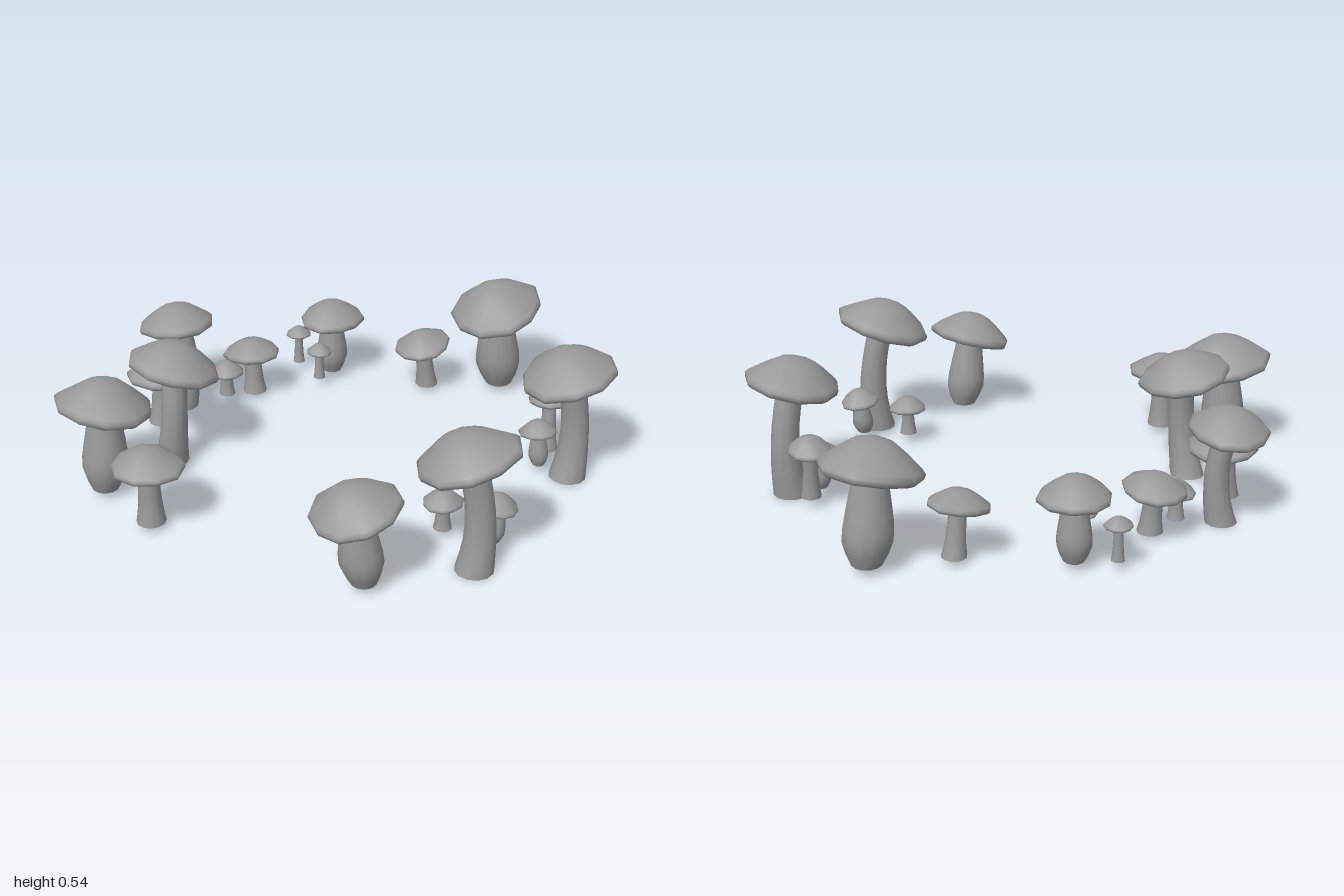
import * as THREE from 'three';
import { mergeVertices } from 'three/addons/utils/BufferGeometryUtils.js';

const grey = new THREE.MeshStandardMaterial({ color: 0x999999 });
grey.name = 'grey';

// Stem radius up its height: swollen bulb or flared foot
const bulb = [0.6, 0.84, 1, 0.99, 0.92, 0.84, 0.76, 0.7, 0.66];
const flare = [1, 0.9, 0.83, 0.78, 0.75, 0.73, 0.72, 0.73, 0.76];

// Domed cap with a soft central bump, rolled rim and shallow underside
function capGeometry(radius, h, seed) {
  const lip = radius * 0.13;
  const pts = [
    [0, 0], [0.35, 0], [0.75, -lip * 0.6], [0.9, -lip], [0.98, -lip * 0.6], [1, lip * 0.1],
    [0.94, 0.16 * h], [0.8, 0.36 * h], [0.6, 0.63 * h], [0.4, 0.86 * h], [0.2, 0.97 * h], [0, h],
  ].map(([r, y]) => new THREE.Vector2(r, y));
  let geo = new THREE.LatheGeometry(pts, 10, seed);
  geo.deleteAttribute('uv');
  geo.deleteAttribute('normal');
  geo = mergeVertices(geo, 1e-5);
  const p = geo.attributes.position;
  for (let i = 0; i < p.count; i++) {
    // gently uneven outline
    const a = Math.atan2(p.getZ(i), p.getX(i));
    const r = Math.hypot(p.getX(i), p.getZ(i));
    const k = radius * (1 + 0.035 * r * (Math.sin(2 * a + seed * 2.3) + Math.sin(3 * a + seed * 4.1)));
    p.setX(i, p.getX(i) * k);
    p.setZ(i, p.getZ(i) * k);
  }
  geo.computeVertexNormals();
  return geo;
}

// Stem that follows a bowed line from its foot to the cap
function stemGeometry(profile, foot, top, radius, bendX, bendZ) {
  const n = profile.length - 1;
  let geo = new THREE.CylinderGeometry(1, 1, 1, 12, n);
  geo.deleteAttribute('uv');
  geo = mergeVertices(geo, 1e-4);
  const p = geo.attributes.position;
  const c = new THREE.Vector3();
  for (let i = 0; i < p.count; i++) {
    const t = p.getY(i) + 0.5;
    const bow = 4 * t * (1 - t);
    const w = radius * profile[Math.round(t * n)];
    c.lerpVectors(foot, top, t);
    p.setXYZ(i, c.x + bendX * bow + p.getX(i) * w, c.y, c.z + bendZ * bow + p.getZ(i) * w);
  }
  geo.computeVertexNormals();
  return geo;
}

// One mushroom; the foot is set off-centre so the stem meets the tilted cap squarely
function makeMushroom(type, [x, z, rimY, radius, slopeX, slopeZ, bendX = 0, bendZ = 0], seed) {
  const h = radius * type.dome;
  const cap = new THREE.Mesh(capGeometry(radius, h, seed), grey);
  cap.name = 'cap';
  cap.position.set(x, rimY, z);
  cap.quaternion.setFromUnitVectors(
    new THREE.Vector3(0, 1, 0), new THREE.Vector3(-slopeX, 1, -slopeZ).normalize());

  const foot = new THREE.Vector3(x + slopeX * 0.12, type.footY, z + slopeZ * 0.12);
  const top = new THREE.Vector3(x, rimY + h * 0.2, z);
  const stem = new THREE.Mesh(
    stemGeometry(type.profile, foot, top, radius * type.stem, bendX, bendZ), grey);
  stem.name = 'stem';

  const mushroom = new THREE.Group();
  mushroom.name = type.name;
  mushroom.add(cap, stem);
  return mushroom;
}

// Each spot: x, z, rim height, cap radius, rim slope along x and z, stem bow along x and z
const tall = {
  name: 'tallMushroom', profile: flare, dome: 0.53, stem: 0.39, footY: 0,
  spots: [
    [-0.065, 0.765, 0.44, 0.18, 0.2, 0.22, 0.03, 0.01],
    [0.6, 0.52, 0.435, 0.18, 0.18, 0.1, 0.035, 0],
    [-0.5, -0.415, 0.405, 0.167, -0.22, -0.1, -0.01, 0.03],
    [-0.275, -0.785, 0.36, 0.15, 0, 0.13, 0.02, 0.02],
  ],
};
const stout = {
  name: 'stoutMushroom', profile: bulb, dome: 0.57, stem: 0.48, footY: 0.03,
  spots: [
    [-0.82, -0.36, 0.365, 0.175, -0.17, 0],
    [0.82, -0.14, 0.37, 0.185, 0.25, 0],
    [-0.445, 0.655, 0.325, 0.16, 0.25, 0.08],
    [0.355, -0.625, 0.265, 0.13, 0, 0],
  ],
};
const medium = {
  name: 'mediumMushroom', profile: flare, dome: 0.5, stem: 0.41, footY: 0.025,
  spots: [
    [-0.81, -0.075, 0.255, 0.131, 0, 0],
    [-0.415, -0.67, 0.225, 0.135, -0.1, 0],
    [0, -0.68, 0.192, 0.115, 0, 0.12],
    [0.58, -0.305, 0.21, 0.111, 0.2, 0],
  ],
};
const small = {
  name: 'smallMushroom', profile: flare, dome: 0.65, stem: 0.47, footY: 0.04,
  spots: [
    [0.66, 0.37, 0.235, 0.08, -0.1, 0.15],
    [-0.01, 0.575, 0.145, 0.072, 0, 0],
    [-0.12, -0.685, 0.14, 0.07, 0, 0],
    [0.27, -0.745, 0.168, 0.05, 0, 0],
    [0.26, -0.58, 0.158, 0.051, 0, 0],
  ],
};
const button = {
  name: 'buttonMushroom', profile: bulb, dome: 0.65, stem: 0.53, footY: 0.03,
  spots: [
    [0.555, 0.43, 0.165, 0.07, 0, 0.1],
    [0.105, 0.73, 0.165, 0.077, -0.15, 0],
  ],
};

export function createModel() {
  const model = new THREE.Group();
  model.name = 'mushroomRing';
  for (const type of [tall, stout, medium, small, button]) {
    for (const spot of type.spots) {
      model.add(makeMushroom(type, spot, model.children.length * 1.3));
    }
  }
  return model;
}
